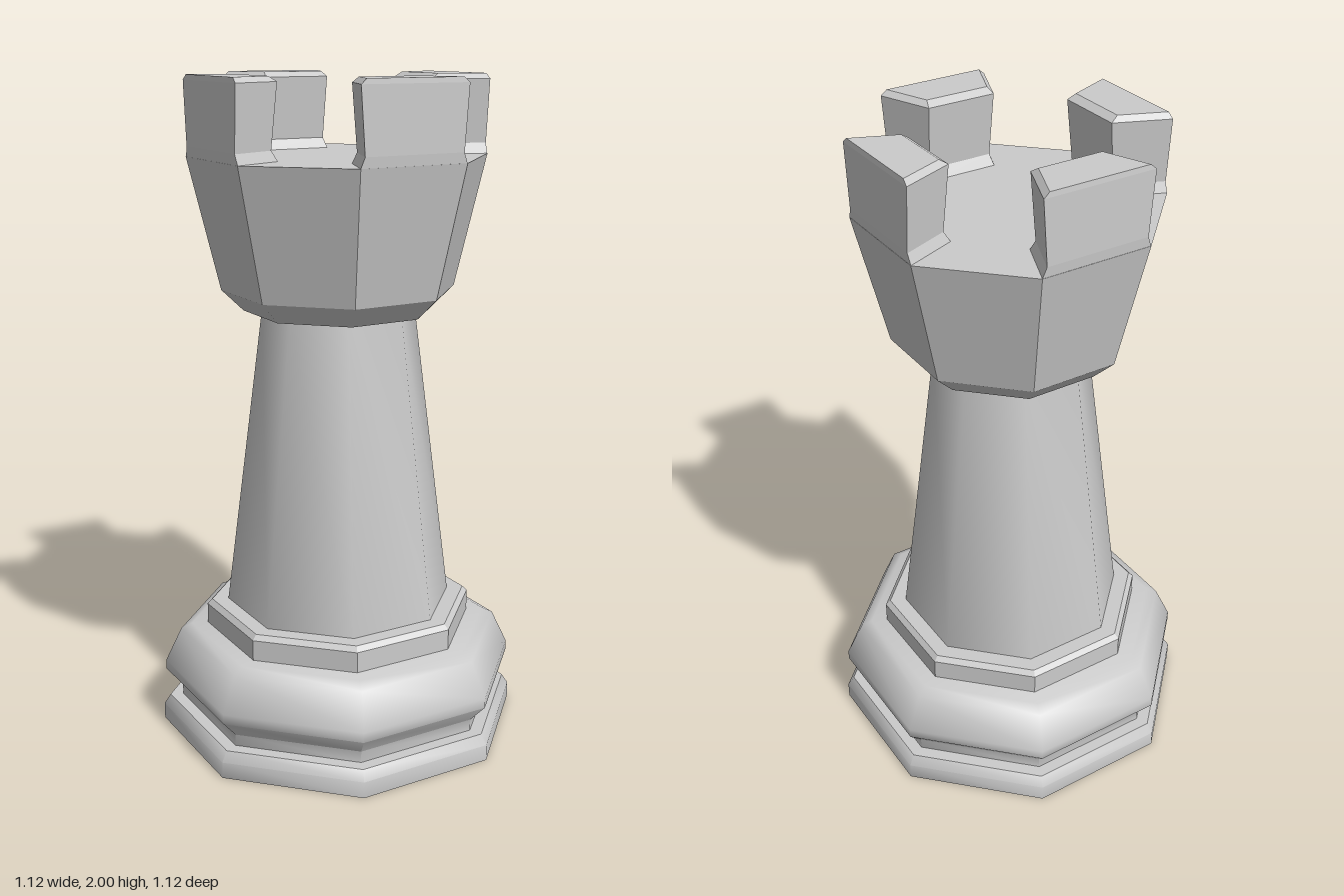
import * as THREE from 'three';
import { toCreasedNormals } from 'three/addons/utils/BufferGeometryUtils.js';

const SIDES = 8;
const STEP = (Math.PI * 2) / SIDES;
const smoothMat = new THREE.MeshStandardMaterial({ color: 0xcccccc });
const flatMat = new THREE.MeshStandardMaterial({ color: 0xcccccc, flatShading: true });

// Octagonal turning from [radius, height] pairs, bottom to top
function turned(name, profile, flat) {
  const lathe = new THREE.LatheGeometry(profile.map(([r, y]) => new THREE.Vector2(r, y)), SIDES);
  const mesh = new THREE.Mesh(
    flat ? lathe : toCreasedNormals(lathe, 0.9),
    flat ? flatMat : smoothMat
  );
  mesh.name = name;
  return mesh;
}

// One battlement block spanning an eighth of the rim, lofted through four-cornered rings
function battlementGeometry() {
  const outer = 0.445, inner = 0.275;
  // [height, inset of sides and inner face, inset of outer face]
  const rings = [[1.77, 0, 0.003], [1.8, 0.012, 0.005], [1.985, 0, 0], [2, 0.016, 0.008]];
  const positions = [];
  const index = [];
  for (const [y, inset, outInset] of rings) {
    const ro = outer - outInset, ri = inner + inset * 1.2;
    const corners = [
      [ro, inset / ro], [ro, STEP - inset / ro],
      [ri, STEP - inset / ri], [ri, inset / ri],
    ];
    for (const [r, a] of corners) positions.push(r * Math.sin(a), y, r * Math.cos(a));
  }
  for (let k = 0; k < rings.length - 1; k++) {
    for (let c = 0; c < 4; c++) {
      const a = k * 4 + c, b = k * 4 + ((c + 1) % 4);
      index.push(a, b, b + 4, a, b + 4, a + 4);
    }
  }
  const t = (rings.length - 1) * 4;
  index.push(t, t + 1, t + 2, t, t + 2, t + 3);
  const geo = new THREE.BufferGeometry();
  geo.setAttribute('position', new THREE.Float32BufferAttribute(positions, 3));
  geo.setIndex(index);
  const flat = geo.toNonIndexed();
  flat.computeVertexNormals();
  return flat;
}

export function createModel() {
  const model = new THREE.Group();
  model.name = 'chessRook';

  // Stepped foot with a waisted moulding
  model.add(turned('base', [
    [0, 0], [0.56, 0], [0.56, 0.05], [0.54, 0.08], [0.5, 0.08], [0.5, 0.115],
    [0.55, 0.17], [0.55, 0.2], [0.5, 0.305], [0.465, 0.322], [0, 0.322],
  ]));

  // Thin faceted ring under the shaft
  model.add(turned('collar', [[0.415, 0.32], [0.415, 0.385], [0.4, 0.4], [0, 0.4]], true));

  // Tapering shaft
  model.add(turned('shaft', [[0.35, 0.395], [0.23, 1.325]]));

  // Flared faceted head with a flat floor
  model.add(turned('head', [
    [0, 1.317], [0.285, 1.317], [0.35, 1.38], [0.443, 1.77], [0.275, 1.77], [0, 1.77],
  ], true));

  // Four battlements on alternate sides of the rim
  const block = battlementGeometry();
  const battlements = new THREE.Group();
  battlements.name = 'battlements';
  for (let i = 0; i < 4; i++) {
    const mesh = new THREE.Mesh(block, flatMat);
    mesh.name = 'battlement' + (i + 1);
    mesh.rotation.y = i * STEP * 2;
    battlements.add(mesh);
  }
  model.add(battlements);

  return model;
}
